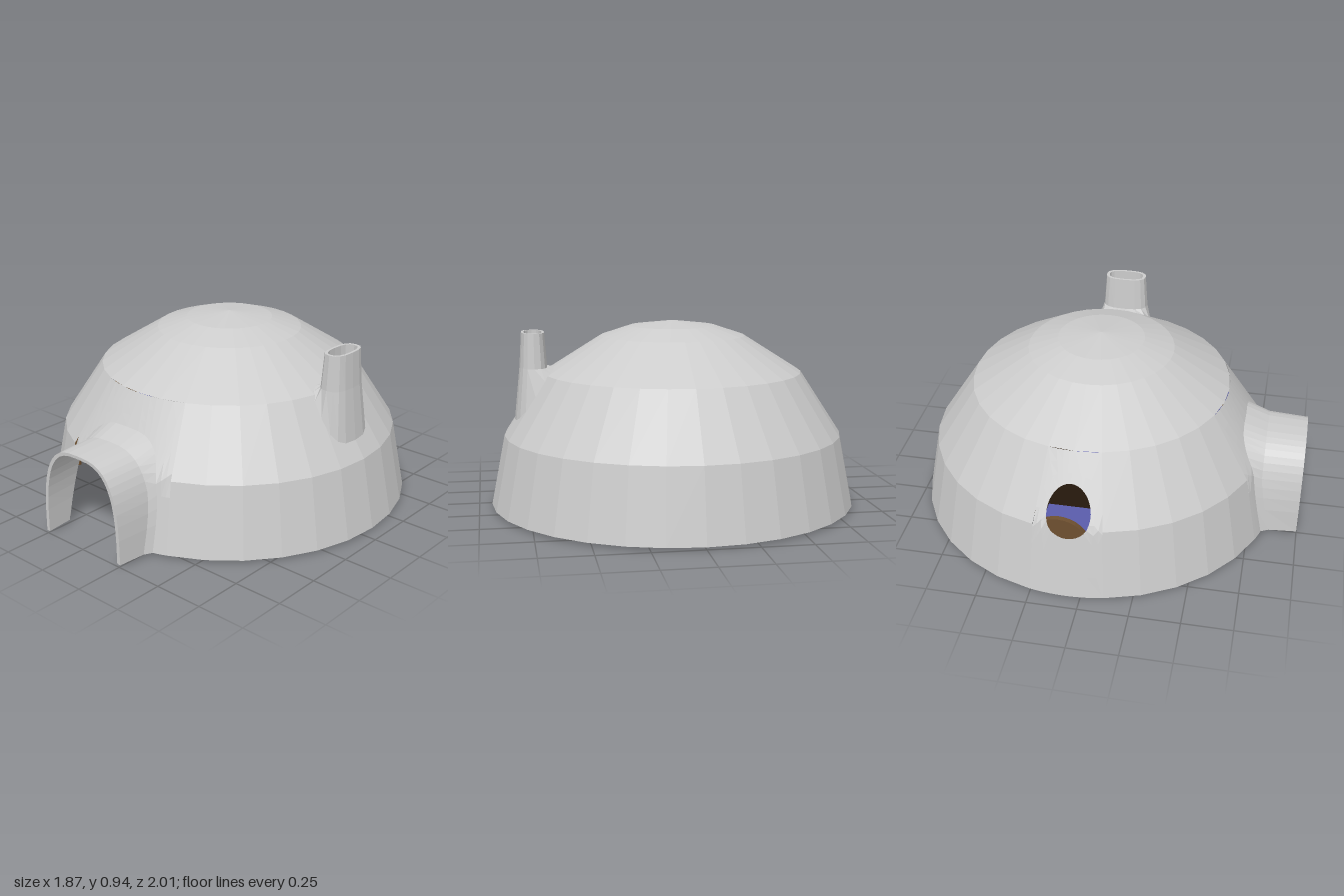
import * as THREE from 'three';

const CZ = -0.07; // dome centre in z
const PROFILE = [[0.935, 0.015], [0.865, 0.37], [0.66, 0.685], [0.37, 0.868], [0.22, 0.918], [0, 0.945]];
const COLORS = { wall: 0xcccccc, wood: 0x6e5030, dark: 0x4f2b10, rug: 0x24170b, blue: 0x5a5cab, iron: 0x3c3c3c };
const mats = {};
for (const k in COLORS) {
  mats[k] = new THREE.MeshStandardMaterial({ color: COLORS[k], flatShading: true, side: THREE.DoubleSide });
}

// Radius of the dome at a height, and height at a radius
function lookup(v, from, to) {
  for (let i = 0; i < PROFILE.length - 1; i++) {
    const a = PROFILE[i], b = PROFILE[i + 1];
    const t = (v - a[from]) / (b[from] - a[from]);
    if (t <= 1) return a[to] + (b[to] - a[to]) * t;
  }
  return PROFILE[PROFILE.length - 1][to];
}
const domeR = (y) => lookup(y, 1, 0);
const domeY = (r) => lookup(r, 0, 1);
const onDome = (t, y) => [domeR(y) * Math.sin(t), y, CZ + domeR(y) * Math.cos(t)];

// Skin over a list of equally long loops of points
function loft(loops, closed = false, skip = () => false) {
  const n = loops[0].length, index = [];
  for (let j = 0; j < loops.length - 1; j++) {
    for (let i = 0; i < (closed ? n : n - 1); i++) {
      if (skip(i, j)) continue;
      const k = (i + 1) % n, a = j * n + i, b = j * n + k, c = a + n, d = b + n;
      index.push(a, b, d, a, d, c);
    }
  }
  const g = new THREE.BufferGeometry();
  g.setAttribute('position', new THREE.Float32BufferAttribute(loops.flat(2), 3));
  g.setIndex(index);
  g.computeVertexNormals();
  return g;
}

function add(parent, name, geo, mat, x = 0, y = 0, z = 0) {
  const m = new THREE.Mesh(geo, mats[mat]);
  m.name = name;
  m.position.set(x, y, z);
  parent.add(m);
  return m;
}
const box = (p, name, mat, w, h, d, x, y, z) => add(p, name, new THREE.BoxGeometry(w, h, d), mat, x, y, z);

function group(parent, name, x, z, turn = 0) {
  const g = new THREE.Group();
  g.name = name;
  g.position.set(x, 0, z);
  g.rotation.y = turn;
  parent.add(g);
  return g;
}

function legs(p, w, d, h, r = 0.012) {
  for (const sx of [-1, 1]) for (const sz of [-1, 1]) {
    add(p, 'leg', new THREE.CylinderGeometry(r, r, h, 8), 'wood', sx * w / 2, h / 2 + 0.015, sz * d / 2);
  }
}

// Arched board, optionally with an arched hole
function archBoard(w, h, t, frame = 0) {
  const arch = (s, hw, y0, top) => {
    s.moveTo(-hw, y0); s.lineTo(hw, y0); s.lineTo(hw, top - hw);
    s.absarc(0, top - hw, hw, 0, Math.PI, false); s.lineTo(-hw, y0);
    return s;
  };
  const shape = arch(new THREE.Shape(), w / 2, 0, h);
  if (frame) shape.holes.push(arch(new THREE.Path(), w / 2 - frame, frame, h - frame));
  return new THREE.ExtrudeGeometry(shape, { depth: t, bevelEnabled: false, curveSegments: 8 });
}

const spow = (v, e) => Math.sign(v) * Math.pow(Math.abs(v), e);
const range = (n, f) => Array.from({ length: n }, (_, i) => f(i));

// Loops on the dome running from a hole out to the edge of the cells left free for it
function patch(inner, outer) {
  return [0, 0.33, 0.67, 1].map((k) => inner.map((p, i) => onDome(
    p[0] + (outer[i][0] - p[0]) * k, p[1] + (outer[i][1] - p[1]) * k)));
}

function buildShell(root) {
  const shell = group(root, 'shell', 0, 0);
  const step = Math.PI / 16;
  const rings = PROFILE.map(([, y]) => range(32, (i) => onDome(i * step, y)));
  const free = (i, j) => j < 2 && [30, 31, 0, 1, 23, 24].includes(i);
  add(shell, 'dome', loft(rings, true, free), 'wall');

  // Side window
  const yc = 0.44, wIn = [], wOut = [];
  for (let i = 0; i < 32; i++) {
    const a = i * step, c = Math.cos(a), s = Math.sin(a), m = Math.max(Math.abs(c), Math.abs(s));
    wIn.push([-Math.PI / 2 + 0.13 * c, yc + 0.115 * s]);
    wOut.push([-Math.PI / 2 + step * c / m, yc + (s > 0 ? 0.685 - yc : yc - 0.015) * s / m]);
  }
  add(shell, 'windowWall', loft(patch(wIn, wOut), true), 'wall');

  // Arched entrance tunnel
  const N = 24;
  const arch = (w, h) => range(N + 1, (i) => {
    const a = i / N * Math.PI;
    return [w * spow(Math.cos(a), 0.66), 0.015 + h * Math.pow(Math.max(0, Math.sin(a)), 0.66)];
  });
  const dIn = arch(0.29, 0.525).map(([x, y]) => [Math.asin(x / domeR(y)), y]);
  const dOut = range(N + 1, (i) => {
    const a = i / N * Math.PI, c = Math.cos(a), s = Math.max(0, Math.sin(a)), m = Math.max(Math.abs(c), s);
    return [2 * step * c / m, 0.015 + 0.67 * s / m];
  });
  add(shell, 'entranceWall', loft(patch(dIn, dOut)), 'wall');
  const root3 = dIn.map(([t, y]) => onDome(t, y));
  const at = (w, h, z) => arch(w, h).map(([x, y], i) => [x, y, z(root3[i][2])]);
  const mid = (z) => Math.max(z + 0.04, 0.8);
  add(shell, 'entranceTunnel', loft([
    root3, at(0.27, 0.485, mid), at(0.257, 0.477, () => 1), at(0.238, 0.462, () => 1), at(0.252, 0.468, mid),
  ]), 'wall');
  add(shell, 'doorBoard', archBoard(0.18, 0.1, 0.02), 'wood', 0, 0.38, 0.85).scale.y = 0.75;

  // Flared oval chimney with a hollow top
  const oval = (cx, hx, hz, y) => range(16, (i) => {
    const a = i * Math.PI / 8;
    const x = cx + hx * spow(Math.cos(a), 0.75), z = CZ + hz * spow(Math.sin(a), 0.75);
    return [x, y ?? domeY(Math.hypot(x, z - CZ)), z];
  });
  add(shell, 'chimney', loft([
    oval(0.71, 0.1, 0.15), oval(0.712, 0.07, 0.122, 0.72), oval(0.713, 0.058, 0.11, 0.895),
    oval(0.713, 0.045, 0.095, 0.895), oval(0.712, 0.045, 0.095, 0.62),
  ], true), 'wall');
}

function buildFurniture(root) {
  const room = group(root, 'furniture', 0, 0);
  add(room, 'rug', new THREE.CylinderGeometry(0.48, 0.48, 0.008, 16), 'rug', 0, 0.012, CZ);

  // Bean bags
  for (const [x, z, s] of [[0.165, 0.22, 1], [0.11, -0.16, 0.95]]) {
    const pts = [[0, 0.002], [0.09, 0.002], [0.115, 0.05], [0.1, 0.13], [0.06, 0.19], [0, 0.215]];
    const geo = new THREE.LatheGeometry(pts.map((p) => new THREE.Vector2(p[0] * s, p[1] * s)), 12);
    add(room, 'beanBag', geo, 'blue', x, 0, z);
  }

  // Stove with its pipe
  const stove = group(room, 'stove', 0.67, CZ);
  box(stove, 'stoveBody', 'iron', 0.27, 0.27, 0.33, 0, 0.155, 0);
  add(stove, 'stovePipe', new THREE.CylinderGeometry(0.038, 0.038, 0.46, 12), 'iron', 0.04, 0.52, 0);

  // Dining table, stool and arched chair
  const table = group(room, 'table', 0.26, -0.56);
  box(table, 'tableTop', 'wood', 0.46, 0.025, 0.22, 0, 0.235, 0);
  legs(table, 0.4, 0.17, 0.21);
  const stool = group(room, 'stool', 0.37, -0.39);
  box(stool, 'stoolSeat', 'wood', 0.12, 0.02, 0.12, 0, 0.13, 0);
  legs(stool, 0.1, 0.1, 0.11, 0.009);
  const chair = group(room, 'chair', 0.07, -0.73);
  box(chair, 'chairSeat', 'wood', 0.14, 0.02, 0.13, 0, 0.15, 0.02);
  legs(chair, 0.11, 0.11, 0.13, 0.01);
  add(chair, 'chairBackFrame', archBoard(0.14, 0.2, 0.02, 0.022), 'wood', 0, 0.155, -0.05);
  add(chair, 'chairBackPanel', archBoard(0.08, 0.165, 0.012), 'wood', 0, 0.165, -0.046);

  // Wooden cabinet
  const cabinet = group(room, 'cabinet', -0.28, -0.68);
  box(cabinet, 'cabinetBody', 'dark', 0.27, 0.185, 0.26, 0, 0.108, 0);
  box(cabinet, 'cabinetUpper', 'dark', 0.18, 0.14, 0.14, -0.04, 0.27, -0.04);

  // Bed with an arched headboard under the window
  const bed = group(room, 'bed', -0.63, -0.12);
  box(bed, 'bedFrame', 'wood', 0.36, 0.05, 0.3, 0, 0.085, 0);
  box(bed, 'mattress', 'blue', 0.35, 0.06, 0.28, 0, 0.14, 0);
  legs(bed, 0.34, 0.28, 0.09, 0.014);
  const head = add(bed, 'headboard', archBoard(0.3, 0.35, 0.025), 'wood', -0.2, 0.05, 0);
  head.rotation.y = Math.PI / 2;
  box(bed, 'pillow', 'blue', 0.07, 0.08, 0.22, -0.14, 0.2, 0);

  // Bedside chest
  const chest = group(room, 'bedsideChest', -0.66, 0.29, 0.45);
  box(chest, 'chestBody', 'wood', 0.19, 0.16, 0.18, 0, 0.13, 0);
  legs(chest, 0.16, 0.15, 0.05);

  // Coat stand by the door
  const stand = group(room, 'coatStand', 0.46, 0.5, 0.7);
  for (const s of [-1, 1]) {
    const pole = add(stand, 'pole', new THREE.CylinderGeometry(0.008, 0.008, 0.42, 8), 'wood', s * 0.07, 0.22, 0);
    pole.rotation.z = s * 0.2;
  }
  box(stand, 'cloth', 'blue', 0.1, 0.2, 0.02, 0, 0.26, 0.03);
}

export function createModel() {
  const root = new THREE.Group();
  root.name = 'domeHouse';
  buildShell(root);
  buildFurniture(root);
  return root;
}
